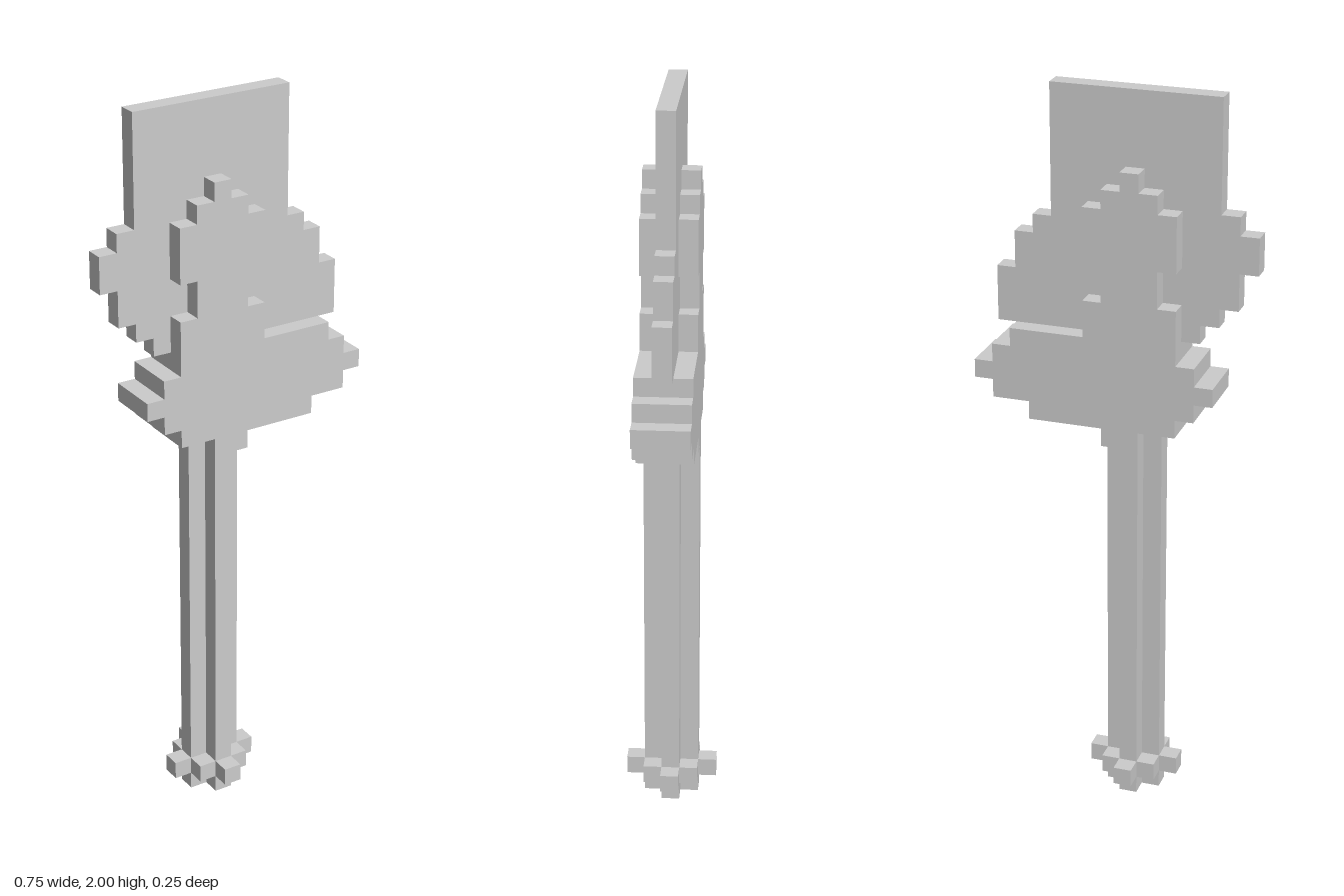
import * as THREE from 'three';

const U = 0.05; // edge of one block
const AXIS = -U; // x of the handle's centre line
const material = new THREE.MeshStandardMaterial({ color: 0xcccccc, flatShading: true });

// Stepped outline from rows [rowCount, left, right], stacked upwards from y0
function steppedShape(rows, y0) {
  const left = [], right = [];
  let y = y0;
  for (const [count, l, r] of rows) {
    const top = y + count * U;
    left.push(new THREE.Vector2(l, y), new THREE.Vector2(l, top));
    right.push(new THREE.Vector2(r, y), new THREE.Vector2(r, top));
    y = top;
  }
  return new THREE.Shape([...right, ...left.reverse()]);
}

function slab(shape, depth) {
  return new THREE.ExtrudeGeometry(shape, { depth, bevelEnabled: false });
}

// Upright slab centred on z = 0
function uprightSlab(name, rows, y0, depth) {
  const mesh = new THREE.Mesh(slab(steppedShape(rows, y0), depth).translate(0, 0, -depth / 2), material);
  mesh.name = name;
  return mesh;
}

// Column around the handle axis; halfWidths give the plan, row by row along z
function column(name, halfWidths, y0, y1) {
  const rows = halfWidths.map((h) => [1, -h * U, h * U]);
  const geometry = slab(steppedShape(rows, -halfWidths.length * U / 2), y1 - y0);
  geometry.rotateX(-Math.PI / 2).translate(AXIS, y0, 0);
  const mesh = new THREE.Mesh(geometry, material);
  mesh.name = name;
  return mesh;
}

export function createModel() {
  const model = new THREE.Group();
  model.name = 'blockAxe';

  // Cross-section shaft and diamond-shaped pommel ring
  model.add(column('handle', [0.5, 1.5, 0.5], 0, 1.1));
  model.add(column('pommelRing', [0.5, 1.5, 2.5, 1.5, 0.5], 0.05, 0.1));

  // Thick head: guard with a long spur, waist and rounded crown
  model.add(uprightSlab('head', [
    [1, -0.025, 0.025],
    [1, -0.175, 0.225],
    [1, -0.225, 0.325],
    [1, -0.275, 0.375],
    [1, -0.225, 0.325],
    [1, -0.175, 0.275],
    [2, -0.175, 0.075],
    [2, -0.125, 0.025],
    [3, -0.175, 0.075],
    [1, -0.125, 0.025],
    [1, -0.075, -0.025],
  ], 1.05, 3 * U));

  // Thin blade running through the head
  model.add(uprightSlab('blade', [
    [1, -0.225, 0.325],
    [1, -0.275, 0.325],
    [1, -0.325, 0.325],
    [1, -0.325, 0.275],
    [1, -0.375, 0.275],
    [1, -0.375, 0.225],
    [1, -0.325, 0.175],
    [6, -0.275, 0.175],
  ], 1.35, U));

  return model;
}
